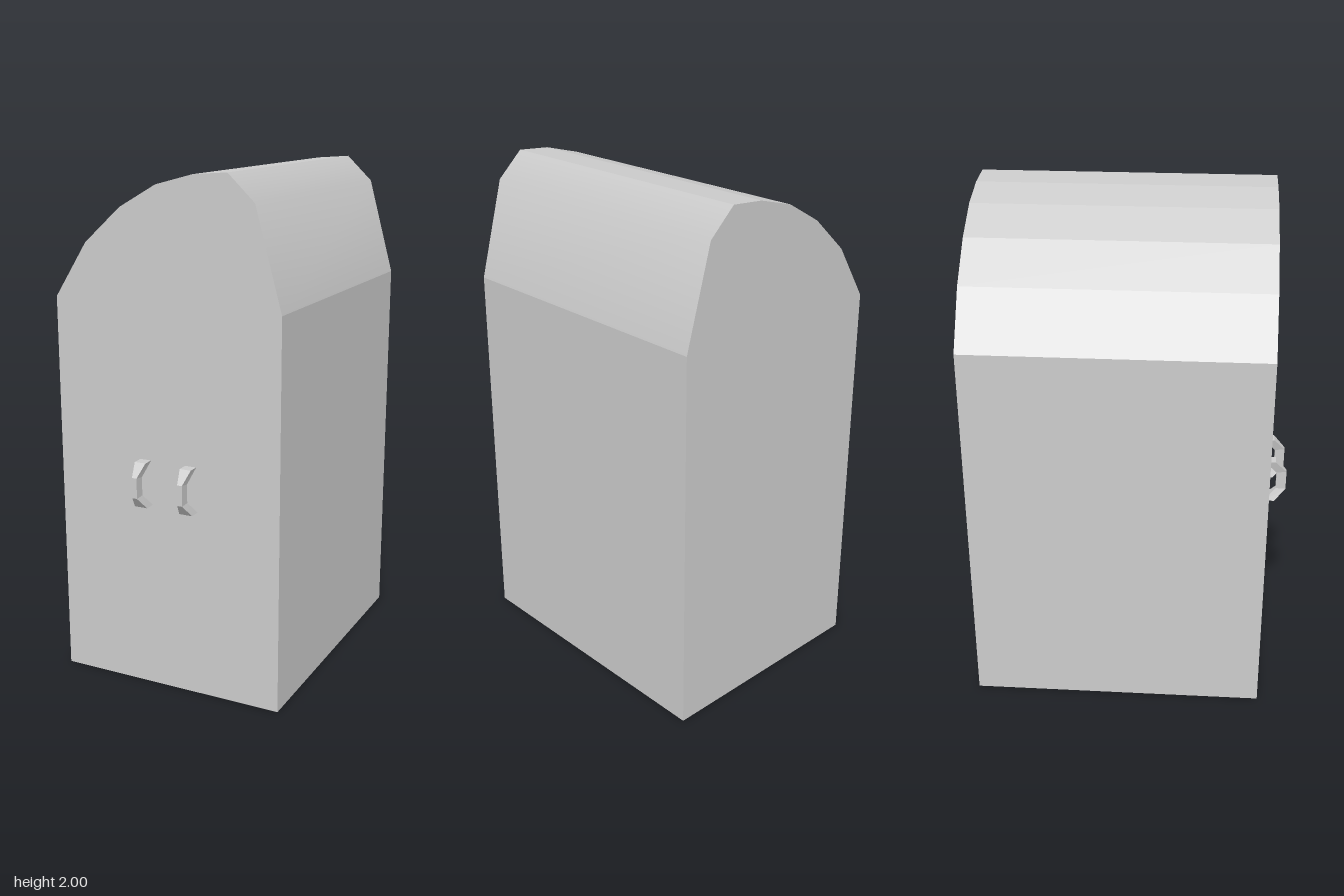
import * as THREE from 'three';

const material = new THREE.MeshStandardMaterial({ color: 0xcccccc });

// Box body with an asymmetric faceted roof, extruded front to back
function createBody() {
  const profile = [
    [-0.465, 0], [0.465, 0], [0.465, 1.52], [0.36, 1.9], [0.255, 2],
    [0.12, 1.99], [-0.03, 1.95], [-0.18, 1.865], [-0.33, 1.73], [-0.465, 1.52],
  ];
  const shape = new THREE.Shape(profile.map(([x, y]) => new THREE.Vector2(x, y)));
  const geometry = new THREE.ExtrudeGeometry(shape, { depth: 1.16, bevelEnabled: false });
  geometry.translate(0, 0, -0.625);

  // Soften only the shoulder edge on the steep side of the roof
  const { position, normal } = geometry.attributes;
  for (let i = 0; i < position.count; i++) {
    const onShoulder = Math.abs(position.getX(i) - 0.36) < 0.001;
    if (onShoulder && Math.abs(normal.getZ(i)) < 0.5) normal.setXYZ(i, 0.858, 0.513, 0);
  }
  const body = new THREE.Mesh(geometry, material);
  body.name = 'body';
  return body;
}

// Bent pull handle: rectangular sections, wide at the ends and pinched in the middle
function createHandle(name, x) {
  // half width, inner z, inner y, outer z, outer y
  const sections = [
    [0.023, 0.533, 0.924, 0.577, 0.924],
    [0.01, 0.582, 0.871, 0.622, 0.876],
    [0.01, 0.582, 0.798, 0.622, 0.796],
    [0.027, 0.533, 0.747, 0.577, 0.747],
  ];
  const vertices = sections.flatMap(([w, zi, yi, zo, yo]) =>
    [-w, yi, zi, w, yi, zi, w, yo, zo, -w, yo, zo]);
  const index = [0, 3, 2, 0, 2, 1, 12, 13, 14, 12, 14, 15];
  for (let s = 0; s < 3; s++) {
    for (let k = 0; k < 4; k++) {
      const a = s * 4 + k, b = s * 4 + (k + 1) % 4;
      index.push(a, b, b + 4, a, b + 4, a + 4);
    }
  }
  const indexed = new THREE.BufferGeometry();
  indexed.setAttribute('position', new THREE.Float32BufferAttribute(vertices, 3));
  indexed.setIndex(index);
  const geometry = indexed.toNonIndexed();
  geometry.computeVertexNormals();
  const handle = new THREE.Mesh(geometry, material);
  handle.name = name;
  handle.position.x = x;
  return handle;
}

export function createModel() {
  const model = new THREE.Group();
  model.name = 'cabinet';
  model.add(
    createBody(),
    createHandle('rightHandle', -0.09),
    createHandle('leftHandle', 0.102),
  );
  return model;
}
